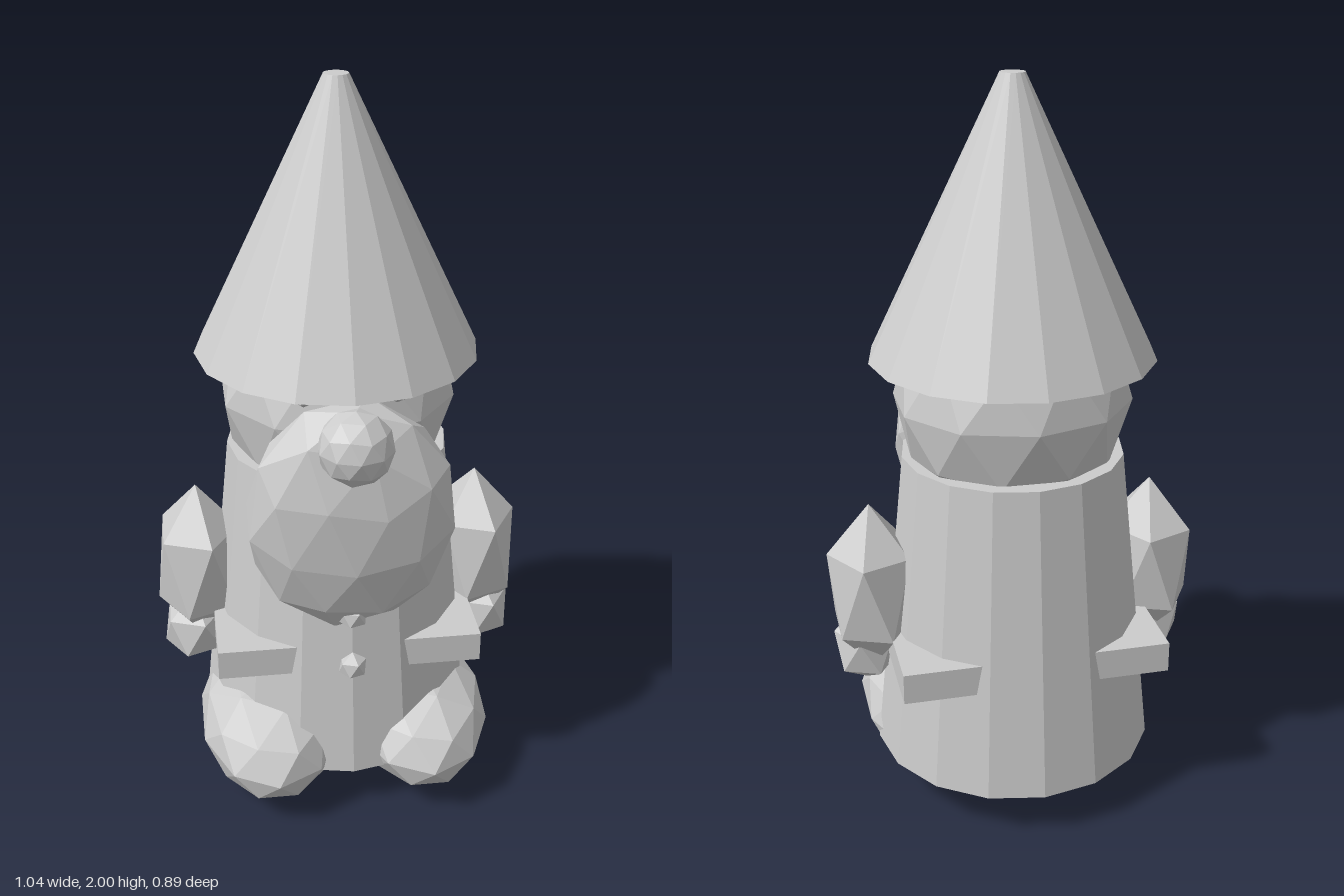
import * as THREE from 'three';

// Pole-up icosahedron: two poles and two staggered rings of five
function icoPoints() {
  const pts = [0, -1, 0];
  const h = 1 / Math.sqrt(5), r = 2 * h;
  for (let ring = 0; ring < 2; ring++) {
    for (let i = 0; i < 5; i++) {
      const a = (i * 2 + (ring ? 0 : 1)) * Math.PI / 5;
      pts.push(r * Math.cos(a), ring ? h : -h, -r * Math.sin(a));
    }
  }
  return [...pts, 0, 1, 0];
}

function icoFaces() {
  const faces = [];
  for (let i = 0; i < 5; i++) {
    const n = (i + 1) % 5;
    const lo = 1 + i, loN = 1 + n, up = 6 + i, upN = 6 + n;
    faces.push(0, loN, lo, up, lo, upN, lo, loN, upN, 11, up, upN);
  }
  return faces;
}

export function createModel() {
  const group = new THREE.Group();
  const stone = new THREE.MeshStandardMaterial({ color: 0xcccccc, flatShading: true });
  stone.name = 'stone grey';

  const add = (name, geometry, x, y, z) => {
    const mesh = new THREE.Mesh(geometry, stone);
    mesh.name = name;
    mesh.position.set(x, y, z);
    group.add(mesh);
    return mesh;
  };

  // Faceted ball, optionally tilted before it is stretched
  const ball = (name, detail, [x, y, z], [rx, ry, rz], tilt = 0) => {
    const geo = new THREE.PolyhedronGeometry(icoPoints(), icoFaces(), 1, detail);
    geo.rotateX(tilt).scale(rx, ry, rz);
    geo.computeVertexNormals();
    return add(name, geo, x, y, z);
  };

  // Hat, head and robe
  add('hat', new THREE.CylinderGeometry(0.033, 0.385, 0.73, 16), 0, 1.635, -0.05);
  ball('head', 1, [0, 1.15, -0.05], [0.325, 0.32, 0.305]);
  add('body', new THREE.CylinderGeometry(0.305, 0.395, 0.87, 16), 0, 0.565, -0.05);

  // Square belt whose corners poke out of the robe
  add('belt', new THREE.BoxGeometry(0.73, 0.085, 0.635), 0, 0.473, -0.048);

  // Face
  ball('beard', 1, [0, 0.92, 0.263], [0.285, 0.34, 0.132], 0.35);
  ball('nose', 1, [0, 1.16, 0.345], [0.1, 0.1, 0.1]);

  // Buttons
  for (const y of [0.47, 0.635]) ball('button', 0, [0, y, 0.305], [0.042, 0.042, 0.042]);

  // Paired parts
  for (const [side, s] of [['left', 1], ['right', -1]]) {
    ball(side + 'Eye', 0, [0.12 * s, 1.264, 0.238], [0.036, 0.036, 0.036]);
    ball(side + 'Arm', 0, [0.4 * s, 0.62, -0.048], [0.134, 0.25, 0.16]);
    ball(side + 'Hand', 0, [0.42 * s, 0.425, -0.02], [0.098, 0.11, 0.115]);
    ball(side + 'Foot', 1, [0.216 * s, 0.165, 0.09], [0.207, 0.163, 0.34]);
  }

  return group;
}
